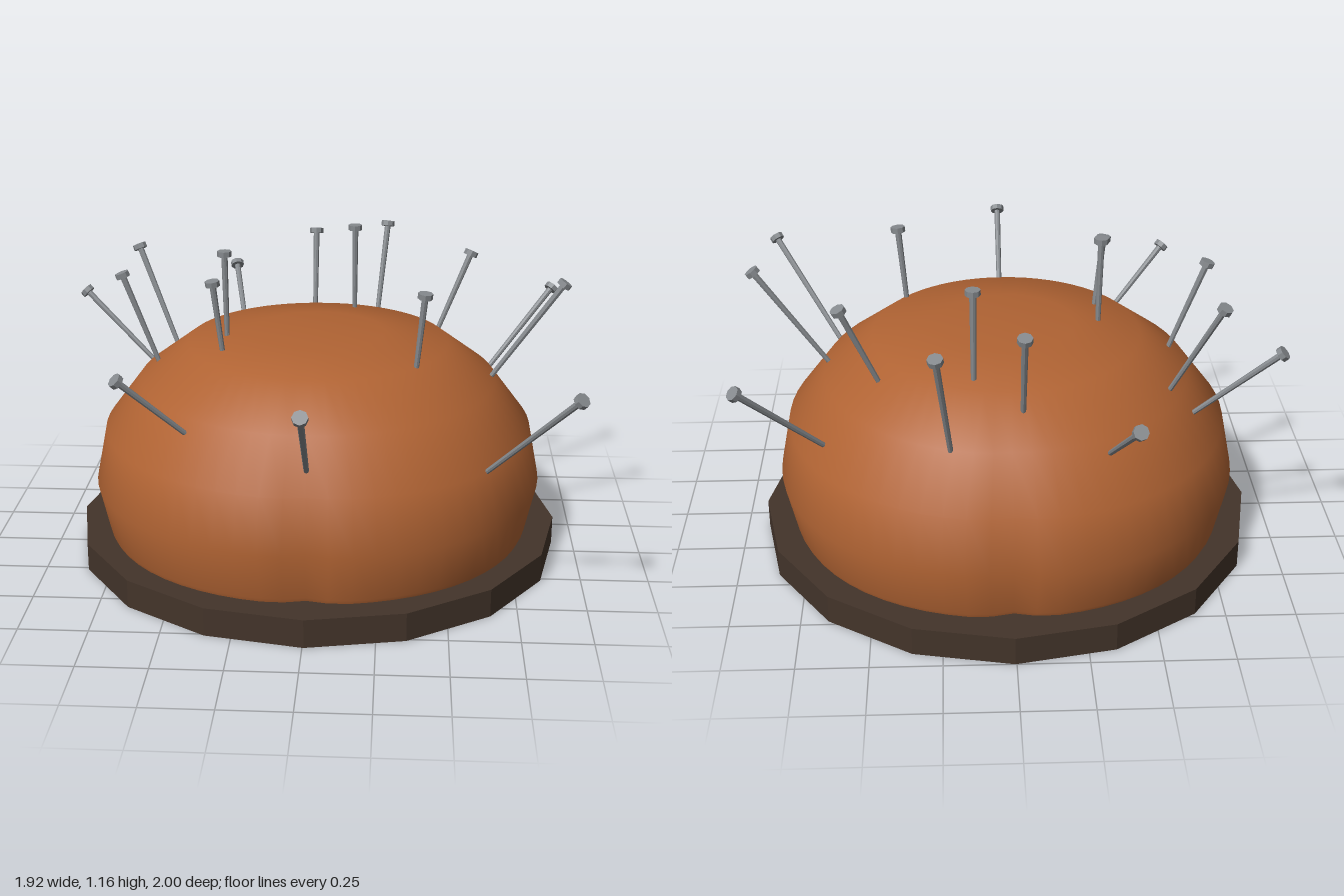
import * as THREE from 'three';
import { mergeVertices } from 'three/addons/utils/BufferGeometryUtils.js';

const wood = new THREE.MeshStandardMaterial({ color: 0x43342a });
wood.name = 'darkWood';
wood.flatShading = true;
const fabric = new THREE.MeshStandardMaterial({ color: 0xb06333 });
fabric.name = 'rustFabric';
const steel = new THREE.MeshStandardMaterial({ color: 0x85898d });
steel.name = 'steel';
steel.flatShading = true;

const CX = 0.005, CZ = -0.085;

// Padded dome with a soft tuck at the front and back
function cushionGeometry() {
  const profile = [
    [0.79, 0.09], [0.805, 0.12], [0.845, 0.3], [0.805, 0.5], [0.67, 0.68],
    [0.49, 0.815], [0.25, 0.848], [0, 0.853],
  ].map(([r, y]) => new THREE.Vector2(r, y));
  let geo = new THREE.LatheGeometry(profile, 64);
  const pos = geo.attributes.position;
  for (let i = 0; i < pos.count; i++) {
    const x = pos.getX(i), y = pos.getY(i), z = pos.getZ(i);
    const off = Math.atan2(Math.abs(x), Math.abs(z)); // angle away from the z axis
    const low = THREE.MathUtils.clamp((0.85 - y) / 0.5, 0, 1);
    const tuck = 0.035 * Math.exp(-((off / 0.09) ** 2));
    const puff = 0.018 * Math.sin(2 * off) ** 2;
    const k = 1 + low * (puff - tuck);
    pos.setXYZ(i, x * k, y, z * k);
  }
  geo.deleteAttribute('uv');
  geo.deleteAttribute('normal');
  geo = mergeVertices(geo, 1e-4);
  geo.computeVertexNormals();
  return geo;
}

// Pins: head position, then the point where the shaft enters the fabric
const PINS = [
  [-0.39, 0.87, -0.97, -0.33, 0.66, -0.72],
  [-0.035, 1.08, -0.72, -0.035, 0.78, -0.63],
  [0.255, 1.08, -0.86, 0.215, 0.7, -0.73],
  [0.13, 1.15, -0.49, 0.13, 0.83, -0.49],
  [0.925, 0.87, -0.66, 0.66, 0.57, -0.475],
  [0.585, 1.065, -0.44, 0.47, 0.79, -0.39],
  [0.915, 1.05, -0.06, 0.66, 0.69, -0.06],
  [0.4, 1.085, 0.25, 0.375, 0.82, 0.23],
  [-0.34, 1.15, -0.05, -0.335, 0.83, -0.05],
  [-0.365, 1.085, 0.13, -0.335, 0.82, 0.11],
  [-0.725, 1.06, -0.06, -0.6, 0.73, -0.06],
  [0.91, 0.87, 0.715, 0.635, 0.51, 0.44],
  [-0.645, 0.865, 0.59, -0.445, 0.65, 0.475],
  [0.005, 0.885, 0.97, 0.005, 0.57, 0.64],
  [-0.725, 1.065, -0.475, -0.575, 0.72, -0.365],
  [-0.94, 0.885, -0.455, -0.67, 0.63, -0.375],
];

function makePin([hx, hy, hz, ex, ey, ez]) {
  const head = new THREE.Vector3(hx, hy, hz);
  const entry = new THREE.Vector3(ex, ey, ez);
  const dir = head.clone().sub(entry).normalize();
  const length = head.distanceTo(entry) + 0.06;
  const pin = new THREE.Group();
  pin.name = 'pin';

  const shaft = new THREE.Mesh(new THREE.CylinderGeometry(0.012, 0.009, length, 8), steel);
  shaft.name = 'pinShaft';
  shaft.position.y = -length / 2;
  const cap = new THREE.Mesh(new THREE.CylinderGeometry(0.027, 0.027, 0.02, 8), steel);
  cap.name = 'pinHead';
  pin.add(shaft, cap);
  pin.position.copy(head);
  pin.quaternion.setFromUnitVectors(new THREE.Vector3(0, 1, 0), dir);
  return pin;
}

export function createModel() {
  const model = new THREE.Group();
  model.name = 'pincushion';

  // Sixteen-sided base plate
  const base = new THREE.Mesh(new THREE.CylinderGeometry(0.915, 0.915, 0.105, 16), wood);
  base.name = 'base';
  base.position.set(CX, 0.0525, CZ);

  const cushion = new THREE.Mesh(cushionGeometry(), fabric);
  cushion.name = 'cushion';
  cushion.position.set(CX, 0, CZ);

  const pins = new THREE.Group();
  pins.name = 'pins';
  PINS.forEach((p) => pins.add(makePin(p)));

  model.add(base, cushion, pins);
  return model;
}
